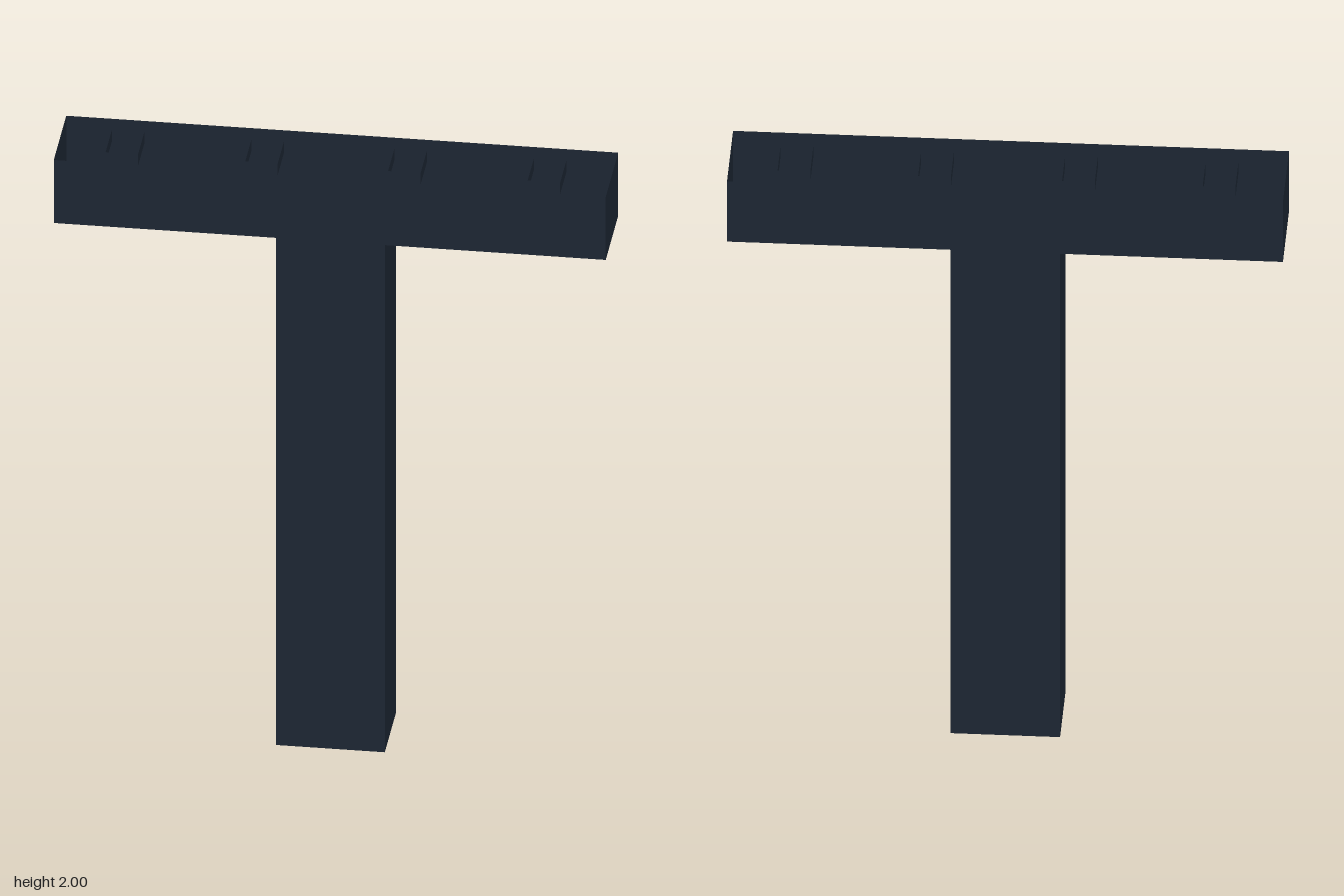
import * as THREE from 'three';

const slate = new THREE.MeshStandardMaterial({ color: 0x1f2937, side: THREE.DoubleSide });
slate.name = 'darkSlate';

const TOP = 2, BOTTOM = 3; // side numbers of a BoxGeometry

// Thin-walled box standing on y, with the listed sides left open
function openBox(name, w, h, d, x, y, openSides) {
  const geometry = new THREE.BoxGeometry(w, h, d);
  const index = Array.from(geometry.index.array);
  geometry.setIndex(index.filter((_, i) => !openSides.includes(Math.floor(i / 6))));
  geometry.clearGroups();
  const mesh = new THREE.Mesh(geometry, slate);
  mesh.name = name;
  mesh.position.set(x, y + h / 2, 0);
  return mesh;
}

export function createModel() {
  const model = new THREE.Group();
  model.name = 'tPost';

  // Hollow upright, open at the foot and closed by the tray above
  model.add(openBox('column', 0.335, 1.78, 0.25, 0, 0, [TOP, BOTTOM]));

  // Crossbar: a tray open at the top
  model.add(openBox('crossbarTray', 1.7, 0.22, 0.28, 0, 1.78, [TOP]));

  // Row of short open sleeves, level with the tray rim
  const sleeves = new THREE.Group();
  sleeves.name = 'sleeves';
  for (const x of [-0.65, -0.22, 0.22, 0.65]) {
    sleeves.add(openBox('sleeve', 0.1, 0.04, 0.14, x, 1.96, [TOP, BOTTOM]));
  }
  model.add(sleeves);

  return model;
}
